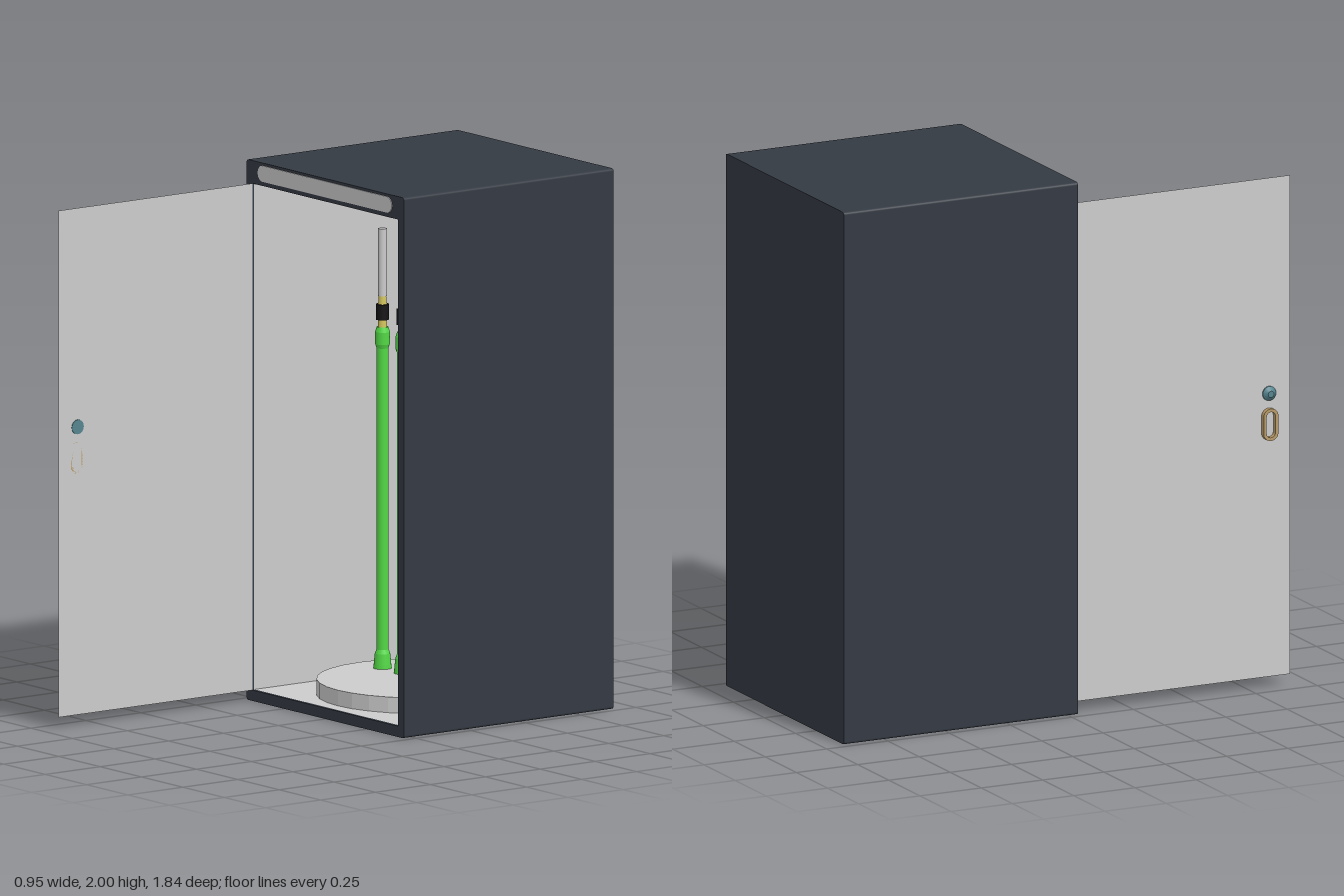
import * as THREE from 'three';

const mat = (color, opts = {}) => new THREE.MeshStandardMaterial({ color, ...opts });
const grey = mat(0xcccccc);
const greyThin = mat(0xcccccc, { side: THREE.DoubleSide });
const dark = mat(0x343a43);
const green = mat(0x52d845);
const gold = mat(0xd2c45c);
const black = mat(0x141414);
const teal = mat(0x55848f);
const bronze = mat(0xb89b6a);

const FRONT = 0.037, BACK = -0.917, W = 0.475;
const IN_X = 0.44, IN_Y0 = 0.04, IN_Y1 = 1.915, IN_BACK = -0.88;

function add(parent, name, geometry, material, x = 0, y = 0, z = 0) {
  const mesh = new THREE.Mesh(geometry, material);
  mesh.name = name;
  mesh.position.set(x, y, z);
  parent.add(mesh);
  return mesh;
}

// Rectangle with rounded corners, traced counter-clockwise
function roundedRect(x0, y0, x1, y1, r, Type = THREE.Shape) {
  const s = new Type();
  s.absarc(x1 - r, y0 + r, r, -Math.PI / 2, 0);
  s.absarc(x1 - r, y1 - r, r, 0, Math.PI / 2);
  s.absarc(x0 + r, y1 - r, r, Math.PI / 2, Math.PI);
  s.absarc(x0 + r, y0 + r, r, Math.PI, Math.PI * 1.5);
  s.closePath();
  return s;
}

const extrude = (shape, depth, curveSegments = 6) =>
  new THREE.ExtrudeGeometry(shape, { depth, bevelEnabled: false, curveSegments });

function makeCabinet() {
  const g = new THREE.Group();
  g.name = 'cabinet';

  // Outer shell, open at the front
  const shape = roundedRect(-W, 0, W, 2, 0.01);
  shape.holes.push(roundedRect(-IN_X, IN_Y0, IN_X, IN_Y1, 0.001, THREE.Path));
  add(g, 'shell', extrude(shape, FRONT - IN_BACK), dark, 0, 0, IN_BACK);
  add(g, 'backWall', extrude(roundedRect(-W, 0, W, 2, 0.01), IN_BACK - BACK), dark, 0, 0, BACK);

  // Grey lining just inside the shell
  const e = 0.002, depth = FRONT - IN_BACK - 0.006, h = IN_Y1 - IN_Y0;
  const midY = (IN_Y0 + IN_Y1) / 2, midZ = IN_BACK + depth / 2;
  add(g, 'liningBack', new THREE.PlaneGeometry(IN_X * 2, h), greyThin, 0, midY, IN_BACK + e);
  for (const s of [-1, 1]) {
    add(g, s < 0 ? 'liningRight' : 'liningLeft', new THREE.PlaneGeometry(depth, h), greyThin,
      s * (IN_X - e), midY, midZ).rotation.y = -s * Math.PI / 2;
    add(g, s < 0 ? 'liningFloor' : 'liningCeiling', new THREE.PlaneGeometry(IN_X * 2, depth), greyThin,
      0, s < 0 ? IN_Y0 + e : IN_Y1 - e, midZ).rotation.x = s * Math.PI / 2;
  }

  // Long panel with round ends above the opening
  add(g, 'headerPanel', extrude(roundedRect(-0.405, 1.931, 0.405, 1.99, 0.029), 0.005), grey, 0, 0, FRONT - 0.002);
  return g;
}

function makeDoor() {
  const g = new THREE.Group();
  g.name = 'door';
  const z1 = 0.92, h = IN_Y1 - IN_Y0;
  add(g, 'doorPanel', new THREE.PlaneGeometry(z1 - FRONT, h), greyThin,
    -IN_X, (IN_Y0 + IN_Y1) / 2, (z1 + FRONT) / 2).rotation.y = Math.PI / 2;

  // Lock: flat inside, tapering outwards
  const lock = add(g, 'lock', new THREE.LatheGeometry([
    new THREE.Vector2(0, -0.002), new THREE.Vector2(0.027, -0.002), new THREE.Vector2(0.027, 0.005),
    new THREE.Vector2(0.012, 0.018), new THREE.Vector2(0, 0.018),
  ], 20), mat(0x55848f, { flatShading: true }), -IN_X, 1.105, 0.833);
  lock.rotation.z = Math.PI / 2;

  // Oval pull handle on the outer side
  const ring = roundedRect(-0.03, -0.06, 0.03, 0.06, 0.029);
  ring.holes.push(roundedRect(-0.018, -0.048, 0.018, 0.048, 0.0175, THREE.Path));
  const handle = add(g, 'handle', extrude(ring, 0.018, 8), bronze, -IN_X, 0.99, 0.833);
  handle.rotation.y = -Math.PI / 2;
  return g;
}

// Each section of a rod: name, material, [radius, height] steps
const rodSections = [
  ['foot', green, [[0.033, 0.1], [0.032, 0.115], [0.028, 0.155], [0.022, 0.17]]],
  ['shaft', green, [[0.022, 0.165], [0.022, 1.295]]],
  ['collar', green, [[0.022, 1.285], [0.027, 1.3], [0.027, 1.345], [0.021, 1.363], [0, 1.363]]],
  ['neck', gold, [[0.017, 1.36], [0.015, 1.39]]],
  ['grip', black, [[0, 1.39], [0.024, 1.39], [0.024, 1.447], [0, 1.447]]],
  ['ferrule', gold, [[0.016, 1.445], [0.013, 1.484], [0, 1.484]]],
  ['tip', grey, [[0, 1.478], [0.016, 1.478], [0.016, 1.727], [0, 1.727]]],
];

// Turned section with hard edges between its steps
function addTurned(parent, name, material, steps) {
  for (let i = 0; i < steps.length - 1; i++) {
    const pts = [steps[i], steps[i + 1]].map(([r, y]) => new THREE.Vector2(r, y));
    add(parent, name, new THREE.LatheGeometry(pts, 20), material);
  }
}

export function createModel() {
  const model = new THREE.Group();
  model.name = 'displayCabinet';
  model.add(makeCabinet(), makeDoor());

  // Round platform carrying a row of five rods
  const z = -0.41;
  add(model, 'platform', new THREE.CylinderGeometry(0.39, 0.39, 0.06, 32), mat(0xcccccc, { flatShading: true }), 0, 0.07, z);
  for (let i = -2; i <= 2; i++) {
    const rod = new THREE.Group();
    rod.name = 'rod';
    for (const [name, material, steps] of rodSections) addTurned(rod, name, material, steps);
    rod.position.set(i * 0.124, 0, z);
    model.add(rod);
  }
  return model;
}
